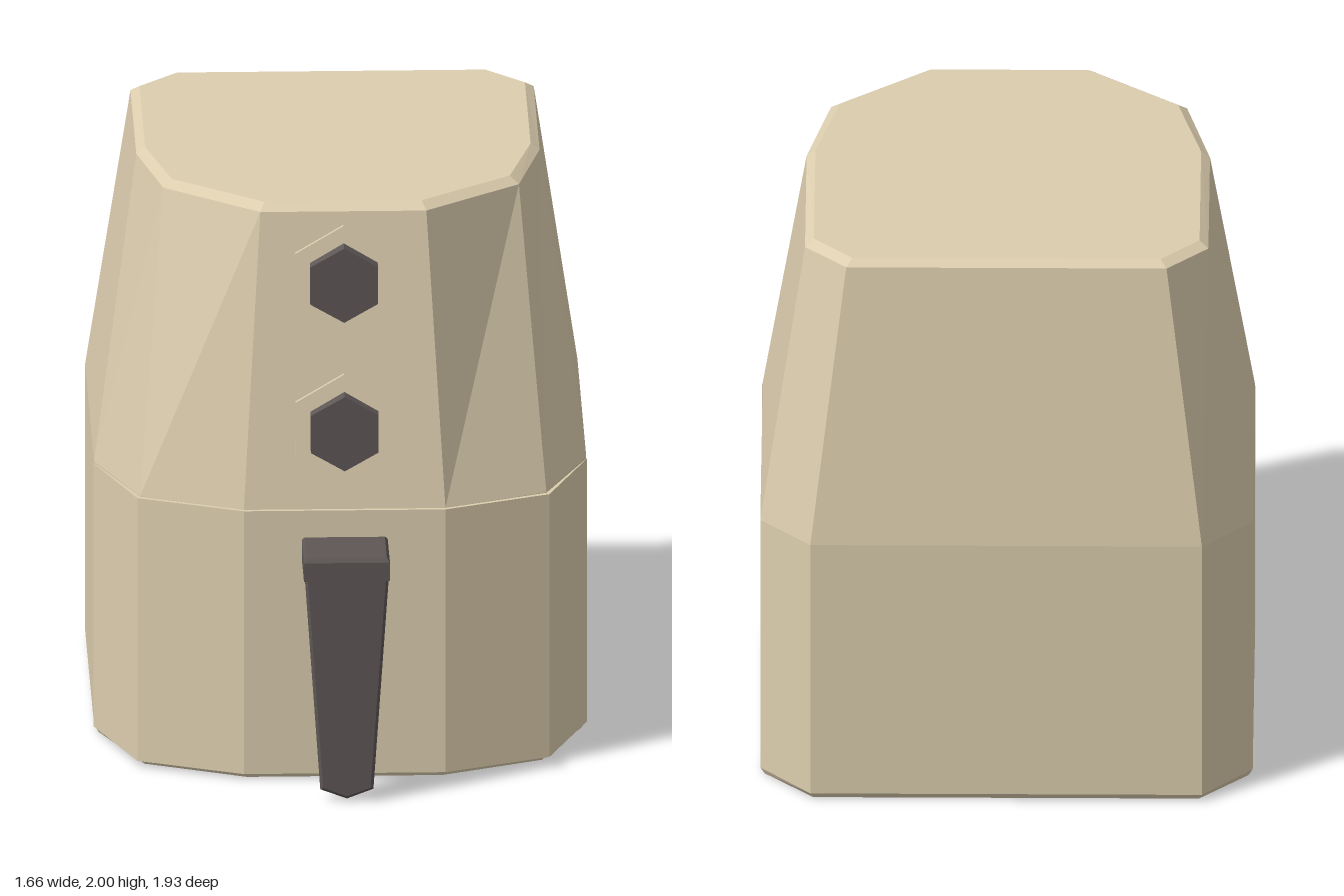
import * as THREE from 'three';

const shell = new THREE.MeshStandardMaterial({ color: 0xdccdae, flatShading: true });
const dark = new THREE.MeshStandardMaterial({ color: 0x5e5756, flatShading: true });

// Mirrors a half outline of [x, z], listed front to back, into a closed ring.
// The height runs from yFront to yBack along z.
function ring(half, yFront, yBack = yFront) {
  const outline = [...half, ...half.map(([x, z]) => [-x, z]).reverse()];
  const z0 = half[0][1], z1 = half[half.length - 1][1];
  return outline.map(([x, z]) => [x, yFront + (yBack - yFront) * (z0 - z) / (z0 - z1), z]);
}

// Skins rings from bottom to top and caps both ends.
function loft(rings) {
  const n = rings[0].length, index = [];
  for (let r = 0; r < rings.length - 1; r++) {
    for (let i = 0; i < n; i++) {
      const a = r * n + i, b = r * n + (i + 1) % n;
      index.push(a, b, b + n, a, b + n, a + n);
    }
  }
  const top = (rings.length - 1) * n;
  for (let i = 1; i < n - 1; i++) {
    index.push(0, i + 1, i, top, top + i, top + i + 1);
  }
  const g = new THREE.BufferGeometry();
  g.setAttribute('position', new THREE.Float32BufferAttribute(rings.flat(2), 3));
  g.setIndex(index);
  const flat = g.toNonIndexed();
  flat.computeVertexNormals();
  return flat;
}

function add(parent, name, geometry, material) {
  const mesh = new THREE.Mesh(geometry, material);
  mesh.name = name;
  parent.add(mesh);
  return mesh;
}

export function createModel() {
  const model = new THREE.Group();
  model.name = 'airFryer';

  // Body: straight lower half, tapered upper half, chamfered rims
  const base = [[0.33, 0.69], [0.67, 0.54], [0.815, 0.2], [0.815, -0.785], [0.65, -0.95]];
  const belly = [[0.34, 0.705], [0.685, 0.555], [0.83, 0.2], [0.83, -0.79], [0.66, -0.97]];
  const shoulder = [[0.28, 0.56], [0.6, 0.3], [0.68, -0.05], [0.68, -0.7], [0.54, -0.845]];
  const lid = [[0.265, 0.525], [0.57, 0.28], [0.65, -0.05], [0.65, -0.68], [0.52, -0.815]];
  add(model, 'body', loft([
    ring(base, 0), ring(belly, 0.025), ring(belly, 0.955, 0.98),
    ring(shoulder, 1.965, 1.98), ring(lid, 1.99, 2),
  ]), shell);

  // Drawer front, standing slightly proud of the body
  const drawer = [[0.34, 0.72], [0.695, 0.57], [0.832, 0.2]];
  add(model, 'drawerFront', loft([ring(drawer, 0.02), ring(drawer, 0.955)]), shell);

  // Two hexagonal dials on the sloping front
  const slope = 0.145;
  for (const [name, y, front] of [['lowerDial', 1.228, 0.727], ['upperDial', 1.732, 0.655]]) {
    const dial = new THREE.Group();
    dial.name = name;
    const surface = 0.705 - slope * (y - 0.955);
    const plate = add(dial, name + 'Plate', new THREE.CylinderGeometry(0.19, 0.19, 0.04, 6).rotateX(Math.PI / 2), shell);
    plate.rotation.x = -Math.atan(slope);
    plate.position.set(0, y, surface + 0.005);
    const depth = front - surface + 0.03;
    const knob = add(dial, name + 'Knob', new THREE.CylinderGeometry(0.132, 0.132, depth, 6).rotateX(Math.PI / 2), dark);
    knob.position.set(0, y, front - depth / 2);
    model.add(dial);
  }

  // Handle: chamfered arm and a tapering, pointed grip
  const handle = new THREE.Group();
  handle.name = 'handle';
  const arm = [[0.145, 0.965], [0.145, 0.71]];
  const armTop = [[0.135, 0.955], [0.135, 0.735]];
  add(handle, 'handleArm', loft([ring(arm, 0.785), ring(arm, 0.85), ring(armTop, 0.865)]), dark);
  const bevel = 0.01;
  const outline = new THREE.Shape([[-0.08, 0.05], [0, 0.02], [0.08, 0.05], [0.135, 0.84], [-0.135, 0.84]]
    .map(([x, y]) => new THREE.Vector2(x, y)));
  const grip = add(handle, 'handleGrip', new THREE.ExtrudeGeometry(outline, {
    depth: 0.04, bevelSize: bevel, bevelThickness: bevel, bevelSegments: 1,
  }), dark);
  grip.position.z = 0.915;
  model.add(handle);

  return model;
}
